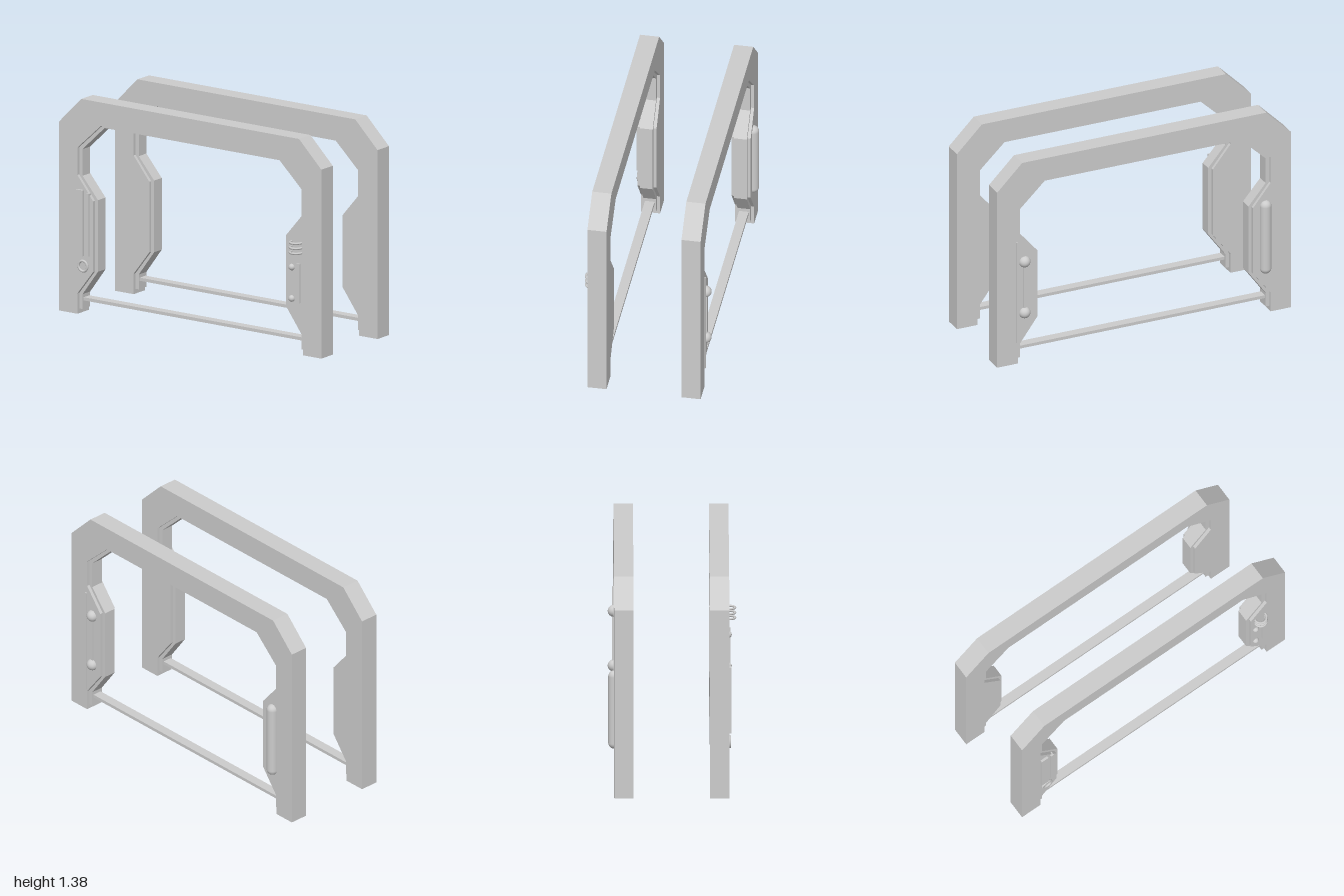
import * as THREE from 'three';

const material = new THREE.MeshStandardMaterial({ color: 0xcccccc });

function add(parent, name, geometry, x = 0, y = 0, z = 0) {
  const mesh = new THREE.Mesh(geometry, material);
  mesh.name = name;
  mesh.position.set(x, y, z);
  parent.add(mesh);
  return mesh;
}

// Half profiles as [z, y], from the foot to the top, mirrored across z = 0.
const OUTER = [[1, 0], [1, 1.205], [0.83, 1.375]];
const INNER = [[0.86, 0], [0.86, 0.13], [0.74, 0.285], [0.74, 0.735], [0.86, 0.885], [0.86, 1.06], [0.68, 1.226]];
const LINER_BACK = [[0.86, 0.03], ...INNER.slice(1)];
const LINER_EDGE = [[0.835, 0.03], [0.835, 0.125], [0.718, 0.285], [0.718, 0.742], [0.835, 0.88], [0.835, 1.05], [0.667, 1.21]];

const mirrored = (half) => [...half, ...half.map(([z, y]) => [-z, y]).reverse()];

// Arch between two profiles, extruded along x and centred.
function arch(outside, inside, width) {
  const points = [...mirrored(outside), ...mirrored(inside).reverse()];
  const shape = new THREE.Shape(points.map(([z, y]) => new THREE.Vector2(z, y)));
  const geometry = new THREE.ExtrudeGeometry(shape, { depth: width, bevelEnabled: false });
  geometry.translate(0, 0, -width / 2);
  return geometry.rotateY(-Math.PI / 2);
}

// Gate frame with its stepped liner and floor bar.
function makeFrame(name, x) {
  const frame = new THREE.Group();
  frame.name = name;
  frame.position.x = x;
  add(frame, 'archBody', arch(OUTER, INNER, 0.12));
  add(frame, 'archLiner', arch(LINER_BACK, LINER_EDGE, 0.08));
  add(frame, 'floorBar', new THREE.BoxGeometry(0.06, 0.02, 1.68), 0, 0.093, 0);
  return frame;
}

export function createModel() {
  const model = new THREE.Group();
  model.name = 'gate';
  const left = makeFrame('leftFrame', 0.3);
  const right = makeFrame('rightFrame', -0.29);
  model.add(left, right);

  // Left outer face: trim line, two knobs with a rod, and a long rounded handle
  add(left, 'trimStrip', new THREE.BoxGeometry(0.02, 0.69, 0.012), 0.058, 0.49, 0.866);
  for (const y of [0.342, 0.692]) {
    add(left, 'knob', new THREE.SphereGeometry(0.037, 24, 16), 0.058, y, 0.813);
  }
  add(left, 'knobRod', new THREE.BoxGeometry(0.02, 0.35, 0.018), 0.058, 0.517, 0.813);
  add(left, 'roundedHandle', new THREE.CapsuleGeometry(0.037, 0.426, 10, 24), 0.06, 0.522, -0.825);

  // Right outer face, front: coil loops, slim bar and two small buttons
  for (const y of [0.65, 0.682, 0.714]) {
    add(right, 'coilLoop', new THREE.TorusGeometry(0.038, 0.007, 10, 32), -0.064, y, 0.81)
      .rotation.x = Math.PI / 2;
  }
  add(right, 'slimBar', new THREE.BoxGeometry(0.024, 0.25, 0.022), -0.06, 0.455, 0.83);
  for (const y of [0.35, 0.55]) {
    add(right, 'button', new THREE.SphereGeometry(0.021, 20, 14), -0.06, y, 0.775);
  }

  // Right outer face, back: tall plate, narrow plate and ring
  add(right, 'tallPlate', new THREE.BoxGeometry(0.03, 0.42, 0.05), -0.06, 0.587, -0.835);
  add(right, 'narrowPlate', new THREE.BoxGeometry(0.024, 0.4, 0.02), -0.06, 0.58, -0.777);
  add(right, 'ring', new THREE.TorusGeometry(0.033, 0.008, 10, 32), -0.064, 0.312, -0.815)
    .rotation.y = Math.PI / 2;

  return model;
}
